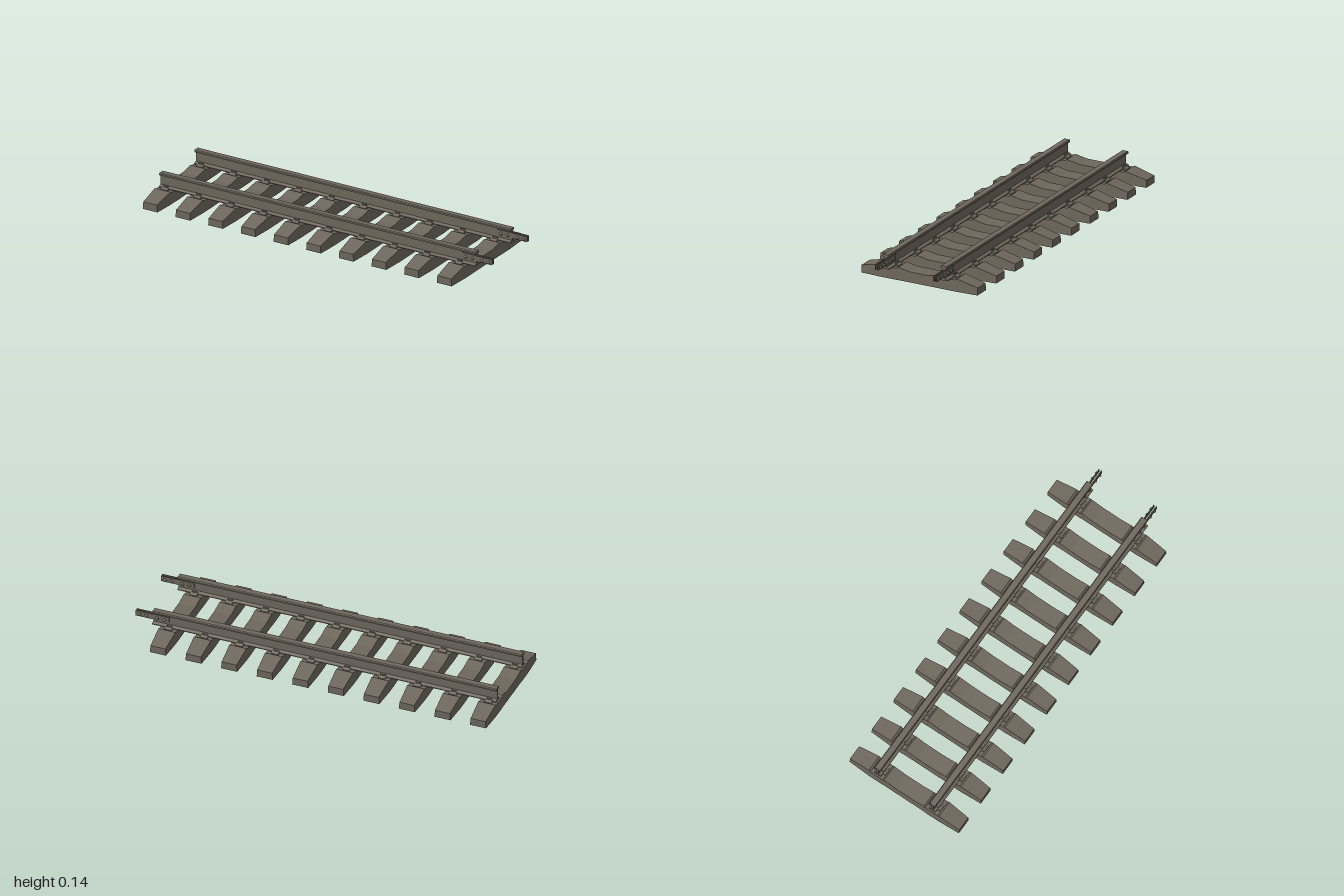
import * as THREE from 'three';

const weathered = new THREE.MeshStandardMaterial({ color: 0x6e675c });
weathered.name = 'weathered grey brown';

function part(parent, name, geometry, x = 0, y = 0, z = 0) {
  const mesh = new THREE.Mesh(geometry, weathered);
  mesh.name = name;
  mesh.position.set(x, y, z);
  parent.add(mesh);
  return mesh;
}

// Extrudes a mirrored (z, y) profile along x, from x0 to x1
function extrudeAlongX(half, x0, x1) {
  const mirrored = half.map(([z, y]) => [-z, y]).reverse();
  const shape = new THREE.Shape([...half, ...mirrored].map(([z, y]) => new THREE.Vector2(z, y)));
  const geometry = new THREE.ExtrudeGeometry(shape, { depth: x1 - x0, bevelEnabled: false });
  geometry.rotateY(Math.PI / 2);
  geometry.translate(x0, 0, 0);
  return geometry;
}

// Concrete sleeper: stations of [z, top height, half width at the top]
function sleeperGeometry() {
  const half = [
    [0.339, 0.040, 0.041], [0.218, 0.069, 0.047], [0.208, 0.062, 0.047],
    [0.132, 0.062, 0.047], [0.124, 0.069, 0.046], [0.056, 0.056, 0.046],
  ];
  const stations = [...half.map(([z, h, w]) => [-z, h, w]), ...half.slice().reverse()];
  const n = stations.length - 1;
  const box = new THREE.BoxGeometry(1, 1, n, 1, 1, n);
  const p = box.attributes.position;
  for (let i = 0; i < p.count; i++) {
    const [z, h, w] = stations[Math.round(p.getZ(i) + n / 2)];
    const top = p.getY(i) > 0;
    p.setXYZ(i, Math.sign(p.getX(i)) * (top ? w : w + 0.003), top ? h : 0, z);
  }
  const geometry = box.toNonIndexed();
  geometry.computeVertexNormals();
  return geometry;
}

export function createModel() {
  const model = new THREE.Group();
  model.name = 'railwayTrack';
  const railZ = 0.17;

  const sleeper = sleeperGeometry();
  const rail = extrudeAlongX([
    [0.021, 0.066], [0.021, 0.070], [0.005, 0.078], [0.005, 0.126],
    [0.009, 0.130], [0.019, 0.132], [0.019, 0.140], [0.015, 0.144],
  ], -0.988, 0.905);
  const basePlate = extrudeAlongX([
    [0.037, 0.060], [0.037, 0.066], [0.020, 0.074],
  ], -0.020, 0.020);
  const clip = new THREE.BoxGeometry(0.026, 0.012, 0.009);
  const fishplate = new THREE.BoxGeometry(0.183, 0.031, 0.005);
  const bolt = new THREE.SphereGeometry(0.0095, 12, 6, 0, Math.PI * 2, 0, Math.PI / 2);
  bolt.rotateX(Math.PI / 2);

  // Sleepers with rail fastenings
  for (let i = 0; i < 10; i++) {
    const x = -0.949 + i * 0.1957;
    part(model, 'sleeper', sleeper, x);
    for (const side of [-1, 1]) {
      part(model, 'basePlate', basePlate, x, 0, side * railZ);
      for (const s of [-1, 1]) part(model, 'railClip', clip, x, 0.075, side * railZ + s * 0.0165);
    }
  }

  // Rails with projecting, bolted joint bars
  for (const side of [-1, 1]) {
    const z = side * railZ;
    part(model, side > 0 ? 'frontRail' : 'backRail', rail, 0, 0, z);
    for (const s of [-1, 1]) {
      part(model, 'fishplate', fishplate, 0.9085, 0.106, z + s * 0.0075);
      for (const x of [0.843, 0.882, 0.942, 0.978]) {
        const head = part(model, 'jointBolt', bolt, x, 0.102, z + s * 0.0085);
        if (s < 0) head.rotation.y = Math.PI;
      }
    }
  }
  return model;
}
